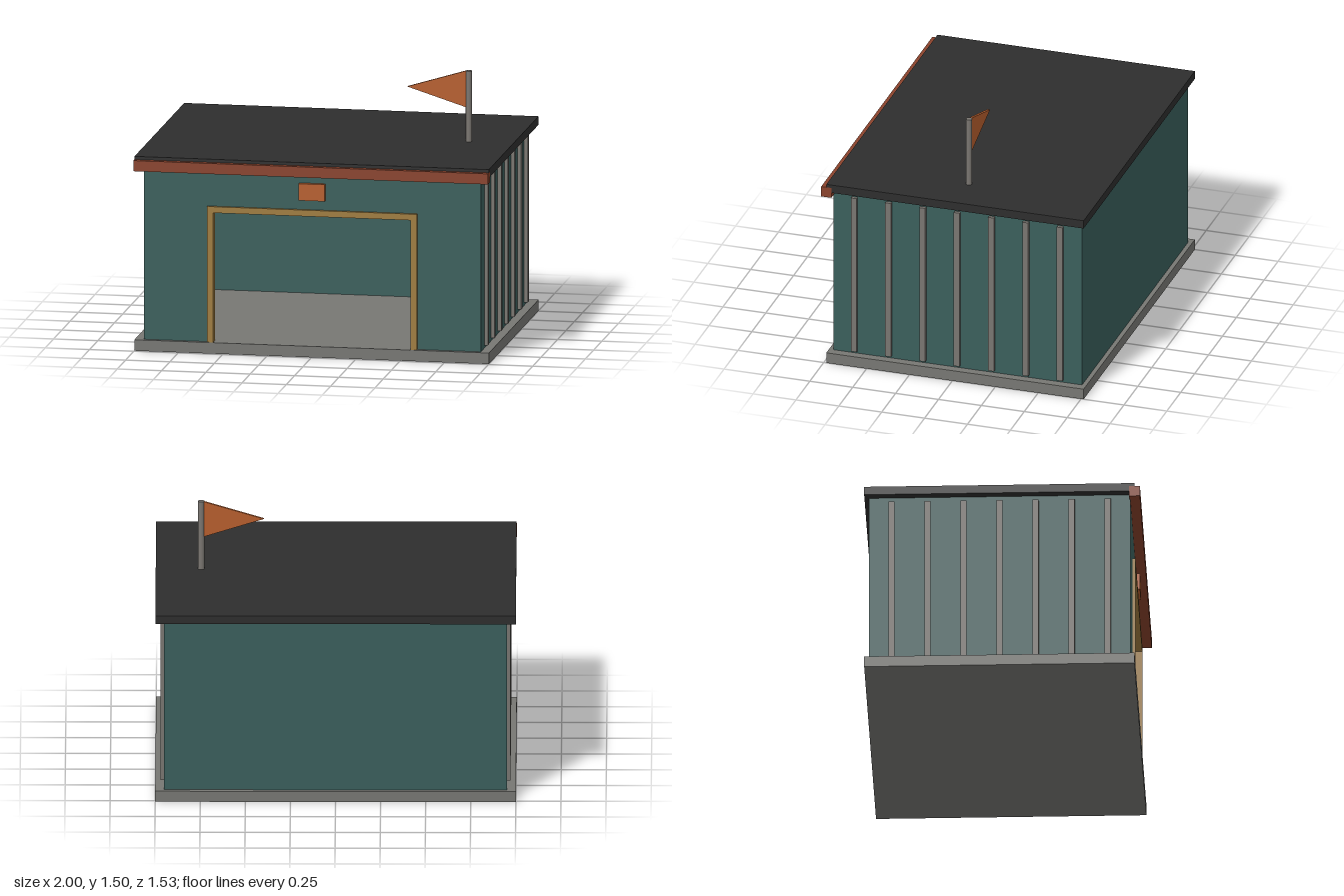
import * as THREE from 'three';

const mat = (name, color) => {
  const m = new THREE.MeshStandardMaterial({ color });
  m.name = name;
  return m;
};

export function createModel() {
  const teal = mat('teal siding', 0x3a5f5c);
  const concrete = mat('concrete grey', 0x777773);
  const steel = mat('steel grey', 0x7a7671);
  const roofing = mat('dark roofing', 0x2e2e2e);
  const rust = mat('rust red', 0x8a432c);
  const orange = mat('orange', 0xb85f2e);
  const ochre = mat('ochre trim', 0xa07d3f);

  // everything is laid out around the building, set slightly back
  const model = new THREE.Group();
  model.name = 'garage';
  const building = new THREE.Group();
  building.name = 'building';
  building.position.z = -0.015;
  model.add(building);

  const add = (name, geometry, material, x = 0, y = 0, z = 0) => {
    const mesh = new THREE.Mesh(geometry, material);
    mesh.name = name;
    mesh.position.set(x, y, z);
    building.add(mesh);
    return mesh;
  };
  // box given by its limits on each axis
  const box = (name, material, [x0, x1], [y0, y1], [z0, z1]) =>
    add(name, new THREE.BoxGeometry(x1 - x0, y1 - y0, z1 - z0), material,
      (x0 + x1) / 2, (y0 + y1) / 2, (z0 + z1) / 2);

  // floor slab and flat roof
  box('floorSlab', concrete, [-1, 1], [0, 0.062], [-0.75, 0.75]);
  box('roof', roofing, [-0.9995, 0.9995], [1.052, 1.1], [-0.75, 0.75]);
  box('fascia', rust, [-1, 1], [1.022, 1.082], [0.72, 0.78]);

  // back and side walls
  const t = 0.03;
  box('backWall', teal, [-0.95, 0.95], [0.062, 1.052], [-0.725, -0.725 + t]);
  for (const s of [-1, 1]) {
    const cx = s * (0.95 - t / 2);
    box('sideWall', teal, [cx - t / 2, cx + t / 2], [0.062, 1.052], [-0.725 + t, 0.725 - t]);
  }

  // front wall around the open doorway
  const front = new THREE.Shape([
    [-0.95, 0.062], [-0.575, 0.062], [-0.575, 0.815], [0.575, 0.815],
    [0.575, 0.062], [0.95, 0.062], [0.95, 1.052], [-0.95, 1.052],
  ].map(([x, y]) => new THREE.Vector2(x, y)));
  add('frontWall', new THREE.ExtrudeGeometry(front, { depth: t, bevelEnabled: false }),
    teal, 0, 0, 0.725 - t);

  // doorway frame
  const frame = new THREE.Shape([
    [-0.592, 0.062], [-0.557, 0.062], [-0.557, 0.795], [0.557, 0.795],
    [0.557, 0.062], [0.592, 0.062], [0.592, 0.83], [-0.592, 0.83],
  ].map(([x, y]) => new THREE.Vector2(x, y)));
  add('doorFrame', new THREE.ExtrudeGeometry(frame, { depth: 0.06, bevelEnabled: false }),
    ochre, 0, 0, 0.682);

  // plain sign above the door
  box('sign', orange, [-0.073, 0.073], [0.885, 0.98], [0.72, 0.75]);

  // vertical ribs along both sides
  for (const s of [-1, 1]) {
    for (let i = -3; i <= 3; i++) {
      add('wallRib', new THREE.BoxGeometry(0.02, 0.945, 0.034), steel, s * 0.96, 0.55, i * 0.2);
    }
  }

  // flagpole and pennant
  add('flagpole', new THREE.CylinderGeometry(0.018, 0.018, 0.4, 12), steel, 0.747, 1.3, 0);
  const pennant = new THREE.Shape([
    new THREE.Vector2(0.735, 1.5), new THREE.Vector2(0.4, 1.398), new THREE.Vector2(0.735, 1.292),
  ]);
  add('flag', new THREE.ExtrudeGeometry(pennant, { depth: 0.015, bevelEnabled: false }),
    orange, 0, 0, -0.0105);

  return model;
}
